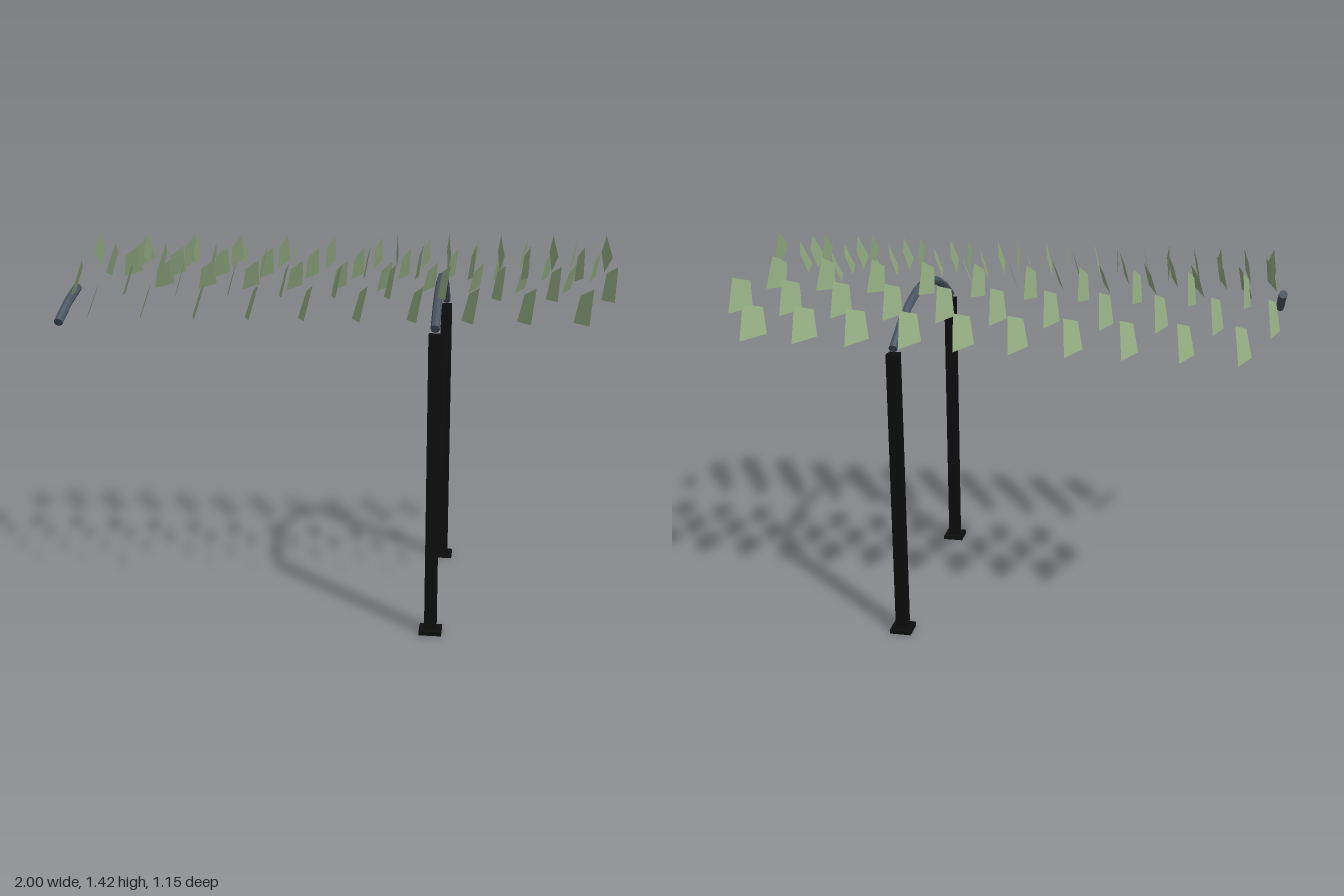
import * as THREE from 'three';

export function createModel() {
  const model = new THREE.Group();
  model.name = 'leafPergola';
  const postBlack = new THREE.MeshStandardMaterial({ name: 'postBlack', color: 0x0d0d0d });
  const tubeSlate = new THREE.MeshStandardMaterial({ name: 'tubeSlate', color: 0x4a5562, flatShading: true });
  const leafGreen = new THREE.MeshStandardMaterial({ name: 'leafGreen', color: 0x95ae84, side: THREE.DoubleSide });

  const add = (name, geometry, material, x, y, z, parent = model) => {
    const mesh = new THREE.Mesh(geometry, material);
    mesh.name = name;
    mesh.position.set(x, y, z);
    parent.add(mesh);
    return mesh;
  };

  const span = 0.436, frameX = 0.378;

  // Posts with square base plates
  for (const side of [1, -1]) {
    add('post', new THREE.BoxGeometry(0.044, 1.1, 0.044), postBlack, frameX, 0.55, side * span);
    add('basePlate', new THREE.BoxGeometry(0.082, 0.015, 0.082), postBlack, frameX, 0.0075, side * span);
  }

  // Arched tube made of straight segments, counted from the front end
  const archPoint = (i) => {
    const t = 1 - i / 4;
    return new THREE.Vector3(0, 1.255 - 0.137 * t * t, span * t);
  };
  const addArch = (name, x, segments) => {
    const arch = new THREE.Group();
    arch.name = name;
    arch.position.x = x;
    for (let i = 0; i < segments; i++) {
      const a = archPoint(i), b = archPoint(i + 1);
      const dir = b.clone().sub(a);
      const mid = a.clone().add(b).multiplyScalar(0.5);
      const geometry = new THREE.CylinderGeometry(0.0165, 0.0165, dir.length() + 0.002, 8);
      const mesh = add('archSegment', geometry, tubeSlate, mid.x, mid.y, mid.z, arch);
      mesh.quaternion.setFromUnitVectors(new THREE.Vector3(0, 1, 0), dir.normalize());
    }
    model.add(arch);
  };
  addArch('archBeam', frameX, 8);
  addArch('archStub', -0.982, 2);

  // Kite-shaped leaf: outline in the z-y plane drooped outwards, then leaned in x
  const leafGeometry = (droop, leanZ, leanY, side) => {
    const kite = [[0, 0], [0.0715, 0.066], [0.2, 0], [0.0715, -0.066]];
    const c = Math.cos(droop), s = Math.sin(droop);
    const corners = kite.flatMap(([u, v]) => {
      const z = u * c + v * s, y = v * c - u * s;
      return [leanZ * z + leanY * y, y, side * z];
    });
    const geometry = new THREE.BufferGeometry();
    geometry.setAttribute('position', new THREE.Float32BufferAttribute(corners, 3));
    geometry.setIndex(side > 0 ? [0, 1, 2, 0, 2, 3] : [0, 2, 1, 0, 3, 2]);
    geometry.computeVertexNormals();
    return geometry;
  };

  // Leaf rows from the ridge outwards, alternate rows staggered
  const rows = [
    { z: 0, y: 1.355, droop: 0.02, leanZ: 0.12, leanY: 0.02 },
    { z: 0.13, y: 1.347, droop: 0.3, leanZ: 0.125, leanY: 0.215 },
    { z: 0.262, y: 1.301, droop: 0.42, leanZ: 0.22, leanY: 0.3 },
    { z: 0.39, y: 1.237, droop: 0.42, leanZ: 0.28, leanY: 0.38 },
  ];
  rows.forEach((row, r) => {
    for (const side of r === 0 ? [1] : [1, -1]) {
      const leafRow = new THREE.Group();
      leafRow.name = 'leafRow';
      const geometry = leafGeometry(row.droop, row.leanZ, row.leanY, side);
      const staggered = r % 2 === 1;
      for (let i = 0; i < (staggered ? 10 : 11); i++) {
        const x = (staggered ? -0.846 : -0.942) + i * 0.191;
        add('leaf', geometry, leafGreen, x, row.y, side * row.z, leafRow);
      }
      model.add(leafRow);
    }
  });

  return model;
}
